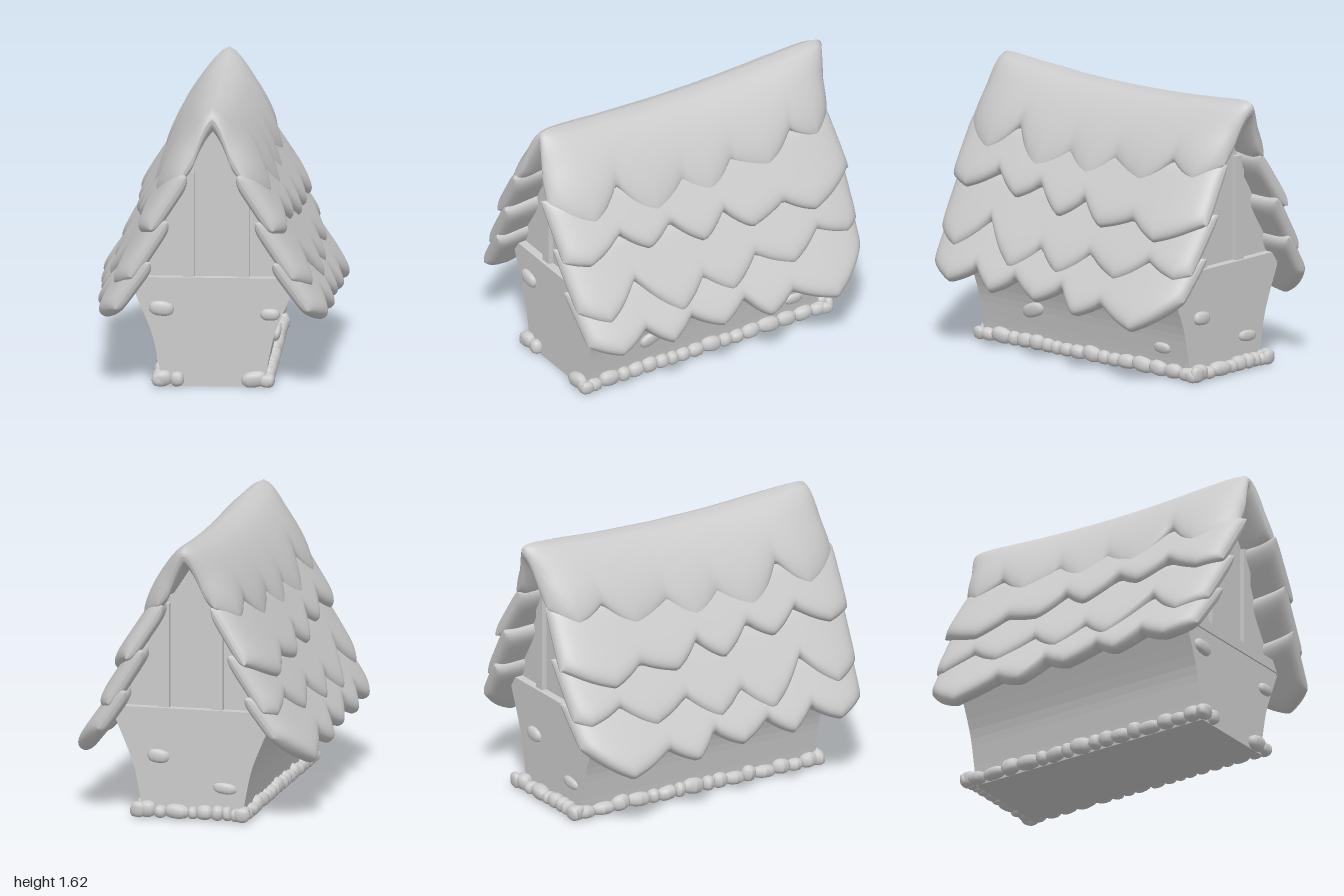
import * as THREE from 'three';

const mat = new THREE.MeshStandardMaterial({ color: 0xcccccc });
const roofMat = new THREE.MeshStandardMaterial({ color: 0xcccccc, side: THREE.DoubleSide });

let seed = 7;
const rand = () => (seed = (seed * 16807) % 2147483647) / 2147483647;
const lerp = THREE.MathUtils.lerp;
const ease = (w) => w + 0.25 * Math.sin(Math.PI * w); // crowds samples toward both ends

function add(parent, name, geometry, material = mat) {
  const mesh = new THREE.Mesh(geometry, material);
  mesh.name = name;
  parent.add(mesh);
  return mesh;
}

// Height at z of a scalloped edge [[z, y], ...] (z falling): sharp valleys, rounder tips
function edgeAt(edge, z) {
  if (z >= edge[0][0]) return edge[0][1];
  for (let i = 1; i < edge.length; i++) {
    const [z0, y0] = edge[i - 1], [z1, y1] = edge[i];
    if (z < z1) continue;
    const t = (z0 - z) / (z0 - z1);
    const fromValley = y1 < y0 ? t : 1 - t;
    return lerp(Math.max(y0, y1), Math.min(y0, y1), fromValley + 0.1 * Math.sin(Math.PI * fromValley));
  }
  return edge[edge.length - 1][1];
}

// Thick padded slab: centre(s, z) gives the middle line across the slope, s = -1..1
function slab(centre, { front, back, outerHalf, innerHalf, tuck }, side = 1, depthOf = (s) => (s + 1) / 2) {
  const NZ = 120, NS = 28, ring = NS * 2, pos = [], index = [];
  for (let i = 0; i <= NZ; i++) {
    const u = ease((i / NZ) * 2 - 1);
    const endRound = Math.sqrt(Math.max(0, 1 - Math.abs(u) ** 24));
    const pullMax = tuck * Math.abs(u) ** 6;
    for (let j = 0; j < ring; j++) {
      const outer = j <= NS;
      const s = ease(((outer ? j : ring - j) / NS) * 2 - 1);
      const t = depthOf(s);
      const z = lerp(lerp(back[0], back[1], t), lerp(front[0], front[1], t), (u + 1) / 2);
      const zEdge = lerp(back[1], front[1], (u + 1) / 2);
      const p = centre(s, zEdge), a = centre(s - 0.02, zEdge), b = centre(s + 0.02, zEdge);
      const dx = b[0] - a[0], dy = b[1] - a[1], len = Math.hypot(dx, dy);
      const n = (outer ? outerHalf : -innerHalf) * endRound * Math.sqrt(Math.max(0, 1 - Math.abs(s) ** 6));
      const x = p[0] - (dy / len) * n;
      const pull = pullMax * Math.min(1, Math.abs(x) / 0.2) * Math.sign(x);
      pos.push(side * (x - pull), p[1] + (dx / len) * n, z);
      if (i < NZ) {
        const k = i * ring + j, l = i * ring + ((j + 1) % ring);
        if (side > 0) index.push(k, k + ring, l, l, k + ring, l + ring);
        else index.push(k, l, k + ring, l, l + ring, k + ring);
      }
    }
  }
  const g = new THREE.BufferGeometry();
  g.setAttribute('position', new THREE.Float32BufferAttribute(pos, 3));
  g.setIndex(index);
  g.computeVertexNormals();
  return g;
}

// Prism with a left-right symmetric outline, given by its +x half from bottom to top
function prism(halfOutline, halfDepth) {
  const left = halfOutline.filter((p) => p[0] > 0).reverse().map(([x, y]) => [-x, y]);
  const shape = new THREE.Shape([...halfOutline, ...left].map(([x, y]) => new THREE.Vector2(x, y)));
  return new THREE.ExtrudeGeometry(shape, { depth: halfDepth * 2, bevelEnabled: false }).translate(0, 0, -halfDepth);
}

// Rounded, slightly boxy pebble
const pebble = new THREE.SphereGeometry(1, 12, 8);
{
  const p = pebble.attributes.position;
  const boxy = (v) => Math.sign(v) * Math.abs(v) ** 0.82;
  for (let i = 0; i < p.count; i++) p.setXYZ(i, boxy(p.getX(i)), boxy(p.getY(i)), boxy(p.getZ(i)));
  pebble.computeVertexNormals();
}
function stone(parent, name, at, size, rot = [0, 0, 0]) {
  const m = add(parent, name, pebble);
  m.position.set(...at);
  m.scale.set(...size);
  m.rotation.set(...rot);
}

export function createModel() {
  const house = new THREE.Group();
  house.name = 'cottage';

  // Flared lower walls
  const flare = new THREE.SplineCurve([[0.29, 0.02], [0.315, 0.17], [0.355, 0.34], [0.45, 0.57], [0.455, 0.6]]
    .map(([x, y]) => new THREE.Vector2(x, y)));
  add(house, 'lowerWalls', prism(flare.getPoints(16).map((p) => [p.x, p.y]), 0.785));

  // Gable walls, cross beams and studs
  add(house, 'gableWalls', prism([[0.43, 0.58], [0.42, 0.66], [0.31, 0.93], [0.18, 1.22], [0, 1.5]], 0.745));
  for (const end of [1, -1]) {
    const beam = add(house, 'crossBeam', new THREE.BoxGeometry(0.9, 0.065, 0.06));
    beam.position.set(0, 0.62, end * 0.765);
    for (const x of [-0.142, 0.172]) {
      const stud = add(house, 'stud', new THREE.BoxGeometry(0.065, 0.63, 0.04));
      stud.position.set(x, 0.945, end * 0.755);
    }
  }

  // Three lower roof rows on each slope
  const roof = new THREE.Group();
  roof.name = 'roof';
  house.add(roof);
  const rows = [
    { top: [0.19, 1.28], tip: [0.475, 0.84], front: [0.99, 0.97], back: [-0.93, -0.96],
      edge: [[0.97, 0.96], [0.82, 0.92], [0.6, 1.03], [0.43, 0.92], [0.27, 1.01], [0.08, 0.87], [-0.08, 0.98],
        [-0.24, 0.86], [-0.47, 0.93], [-0.66, 0.84], [-0.94, 0.96]] },
    { top: [0.3, 1.01], tip: [0.565, 0.6], front: [0.98, 0.95], back: [-0.96, -0.94],
      edge: [[0.95, 0.68], [0.78, 0.6], [0.57, 0.77], [0.32, 0.55], [0.14, 0.68], [-0.03, 0.57], [-0.22, 0.7],
        [-0.45, 0.6], [-0.65, 0.72], [-0.85, 0.65], [-0.94, 0.69]] },
    { top: [0.4, 0.77], tip: [0.685, 0.37], front: [0.97, 0.93], back: [-0.96, -0.93],
      edge: [[0.93, 0.49], [0.75, 0.42], [0.57, 0.51], [0.42, 0.41], [0.27, 0.5], [0.08, 0.41], [-0.09, 0.5],
        [-0.23, 0.38], [-0.4, 0.46], [-0.67, 0.36], [-0.93, 0.54]] },
  ];
  for (const { top, tip, front, back, edge } of rows) {
    const centre = (s, z) => {
      const f = (((s + 1) / 2) * (top[1] - edgeAt(edge, z))) / (top[1] - tip[1]);
      return [lerp(top[0], tip[0], f), lerp(top[1], tip[1], f)];
    };
    const form = { front, back, outerHalf: 0.055, innerHalf: 0.06, tuck: 0.05 };
    for (const side of [1, -1]) add(roof, 'roofRow', slab(centre, form, side), roofMat);
  }

  // Sagging ridge cap folded over both slopes, drawn in at the gables
  const capEdge = [[0.95, 1.23], [0.74, 1.12], [0.55, 1.29], [0.34, 1.06], [0.13, 1.2], [-0.03, 1.07],
    [-0.2, 1.22], [-0.43, 1.12], [-0.62, 1.27], [-0.79, 1.18], [-0.93, 1.28]];
  const capCentre = (s, z) => {
    const ridge = 1.54 + 0.06 * z * z, drop = ridge - edgeAt(capEdge, z);
    return [0.56 * drop ** 0.64 * s, ridge - drop * Math.abs(s) ** 1.56];
  };
  const capForm = { front: [0.91, 0.97], back: [-1, -0.93], outerHalf: 0.055, innerHalf: 0.075, tuck: 0.1 };
  add(roof, 'ridgeCap', slab(capCentre, capForm, 1, Math.abs), roofMat);

  // Foundation stones: both sides, the whole back and the front corners
  const base = new THREE.Group();
  base.name = 'foundation';
  house.add(base);
  const lay = (at, size) => stone(base, 'foundationStone', at, size, [0, 1, 2].map(() => (rand() - 0.5) * 0.35));
  const run = (from, to, place) => {
    for (let p = from; p < to;) {
      const r = Math.min(0.024 + rand() * 0.045, Math.max(0.024, (to - p) / 2));
      place(p + r, r * 1.15, 0.034 + rand() * 0.013);
      p += r * 2;
    }
  };
  for (const side of [1, -1]) {
    run(-0.87, 0.83, (z, r, h) => lay([side * 0.305, 0.02 + h, z], [0.045, h, r]));
    run(0.17, 0.34, (x, r, h) => lay([side * x, 0.02 + h, 0.795], [r, h, 0.04]));
  }
  run(-0.34, 0.34, (x, r, h) => lay([x, 0.02 + h, -0.82], [r, h, 0.045]));

  // Loose stones set in the walls
  const set = (at, size, rot) => stone(house, 'wallStone', at, size, rot);
  set([-0.295, 0.47, 0.785], [0.072, 0.043, 0.03], [0, 0, -0.1]);
  set([0.325, 0.44, 0.785], [0.057, 0.034, 0.03]);
  set([0.2, 0.37, -0.785], [0.065, 0.04, 0.03], [0, 0, 0.1]);
  set([-0.19, 0.2, -0.785], [0.07, 0.032, 0.025], [0, 0, 0.1]);
  set([0.34, 0.26, 0.37], [0.026, 0.042, 0.08], [0.35, 0, -0.2]);
  set([0.325, 0.19, -0.6], [0.022, 0.032, 0.06], [0, 0, -0.2]);
  set([0.395, 0.425, -0.66], [0.025, 0.025, 0.03]);
  return house;
}
